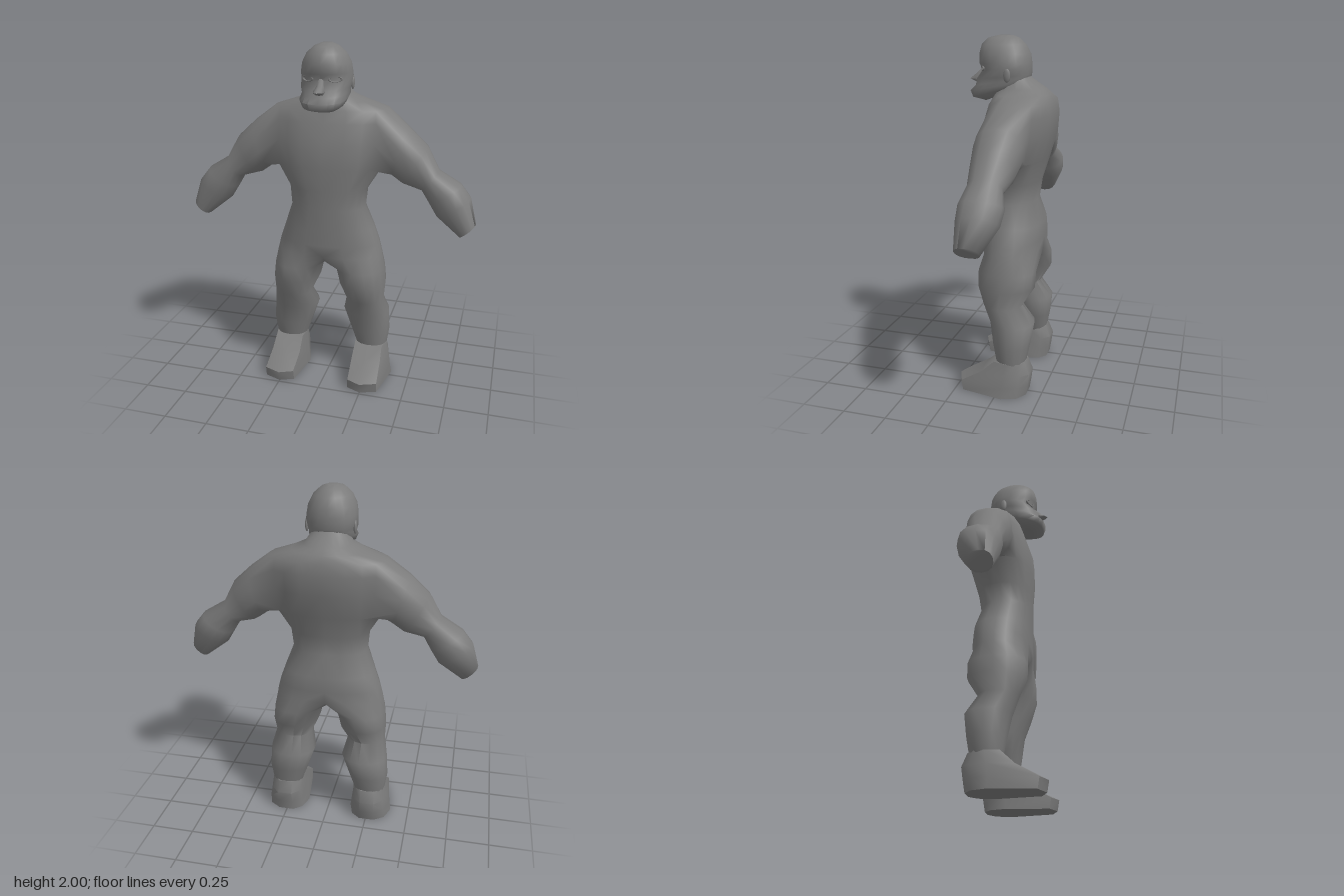
import * as THREE from 'three';
import { toCreasedNormals } from 'three/addons/utils/BufferGeometryUtils.js';

const skin = new THREE.MeshStandardMaterial({ color: 0x7b7b7b });

// Evenly spaced angles, in degrees
const angles = (start, step, count) => Array.from({ length: count }, (_, j) => start + step * j);

// Rounded ring between two opposite points, with a depth range in z
function ring(ax, ay, bx, by, zBack, zFront, degrees, power = 0.9, lift = 0) {
  const soften = (v) => Math.sign(v) * Math.abs(v) ** power;
  return degrees.map((d) => {
    const c = soften(Math.cos(d * Math.PI / 180));
    const s = soften(Math.sin(d * Math.PI / 180));
    return new THREE.Vector3(
      (ax + bx) / 2 + c * (bx - ax) / 2,
      (ay + by) / 2 + c * (by - ay) / 2 + lift * (1 - s) / 2,
      (zBack + zFront) / 2 + s * (zFront - zBack) / 2);
  });
}

// Triangle lists: one quad, a closed band between two rings, an end cap, a mirrored copy
const quad = (a, b, a2, b2) => [[a, a2, b], [b, a2, b2]];
const band = (low, high) => low.flatMap((p, j) => {
  const k = (j + 1) % low.length;
  return quad(p, low[k], high[j], high[k]);
});
const bands = (rings) => rings.slice(1).flatMap((r, i) => band(rings[i], r));
const cap = (r) => r.slice(2).map((p, j) => [r[0], r[j + 1], p]);
const closed = (rings) => [...bands(rings), ...cap(rings[0]), ...cap([...rings[rings.length - 1]].reverse())];
const mirror = (tris) => tris.map((t) => t.map((p) => new THREE.Vector3(-p.x, p.y, p.z)).reverse());

function surface(name, tris, crease) {
  const geometry = new THREE.BufferGeometry().setFromPoints(tris.flat());
  const mesh = new THREE.Mesh(toCreasedNormals(geometry, crease), skin);
  mesh.name = name;
  return mesh;
}

// Left half of the body: torso, leg and arm as one continuous skin
function halfBody() {
  // Torso: height, half width, back z, front z
  const torso = [
    [0.8, 0.316, -0.186, 0.137], [0.87, 0.297, -0.192, 0.14], [0.96, 0.265, -0.188, 0.143],
    [1.09, 0.216, -0.148, 0.146], [1.2, 0.226, -0.165, 0.15], [1.33, 0.305, -0.202, 0.158],
    [1.47, 0.325, -0.243, 0.155], [1.58, 0.33, -0.25, 0.122], [1.645, 0.325, -0.24, 0.1],
    [1.685, 0.2, -0.218, 0.088], [1.715, 0.13, -0.19, 0.08], [1.77, 0.095, -0.11, 0.07],
    [1.8, 0.08, -0.08, 0.06],
  ].map(([y, w, b, f]) => ring(-w, y, w, y, b, f, angles(-90, 18, 11), 0.85));
  const tris = [];
  for (let i = 0; i < torso.length - 1; i++) {
    for (let j = 0; j < 10; j++) {
      const armhole = i >= 5 && i <= 7 && j >= 3 && j <= 6;
      if (!armhole) tris.push(...quad(torso[i][j], torso[i][j + 1], torso[i + 1][j], torso[i + 1][j + 1]));
    }
  }

  // Leg, from the hip and crotch down: height, inner x, outer x, back z, front z
  const crotch = [0.095, 0.025, -0.06, -0.13].map((z) => new THREE.Vector3(0, 0.76, z));
  const leg = [
    [0.19, 0.162, 0.35, -0.153, 0.018], [0.29, 0.127, 0.365, -0.172, 0.037],
    [0.415, 0.085, 0.358, -0.19, 0.06], [0.515, 0.112, 0.334, -0.12, 0.1],
    [0.62, 0.065, 0.34, -0.186, 0.138], [0.71, 0.043, 0.331, -0.188, 0.139],
  ].map(([y, i, o, b, f]) => ring(i, y, o, y, b, f, angles(-120, 24, 15)));
  tris.push(...bands([...leg, [...torso[0], ...crotch]]));

  // Arm, from the edge of the armhole out: lower edge x, y; upper edge x, y; back z, front z
  const armhole = [
    [8, 5], [8, 4], [8, 3], [7, 3], [6, 3], [5, 3], [5, 4],
    [5, 5], [5, 6], [5, 7], [6, 7], [7, 7], [8, 7], [8, 6],
  ].map(([i, j]) => torso[i][j]);
  const arm = [
    [0.36, 1.283, 0.445, 1.552, -0.172, 0.094], [0.42, 1.24, 0.55, 1.455, -0.155, 0.08],
    [0.53, 1.212, 0.62, 1.325, -0.12, 0.068], [0.57, 1.145, 0.745, 1.25, -0.15, 0.084],
    [0.615, 1.07, 0.802, 1.18, -0.14, 0.08], [0.752, 0.962, 0.84, 1.04, -0.07, 0.062],
  ].map((a) => ring(...a, angles(0, -360 / 14, 14)));
  tris.push(...bands([armhole, ...arm]), ...cap([...arm[arm.length - 1]].reverse()));
  return tris;
}

// Foot outlines by height, as x, z pairs: outer side, toes, inner side, heel
function footTriangles() {
  const outlines = [
    [0, [0.39, -0.04, 0.345, 0.2, 0.25, 0.235, 0.168, 0.2, 0.135, -0.04, 0.16, -0.125, 0.21, -0.165, 0.3, -0.165, 0.36, -0.125]],
    [0.06, [0.38, -0.04, 0.345, 0.21, 0.25, 0.246, 0.17, 0.21, 0.142, -0.04, 0.163, -0.13, 0.21, -0.175, 0.3, -0.175, 0.355, -0.13]],
    [0.13, [0.367, -0.05, 0.34, 0.09, 0.25, 0.098, 0.165, 0.09, 0.152, -0.05, 0.167, -0.135, 0.215, -0.185, 0.3, -0.185, 0.348, -0.135]],
    [0.2, [0.353, -0.06, 0.335, 0.015, 0.25, 0.02, 0.168, 0.015, 0.159, -0.06, 0.174, -0.115, 0.215, -0.156, 0.296, -0.156, 0.338, -0.115]],
  ];
  return closed(outlines.map(([y, o]) => Array.from({ length: o.length / 2 },
    (_, k) => new THREE.Vector3(o[2 * k], y, o[2 * k + 1]))));
}

export function createModel() {
  const model = new THREE.Group();
  model.name = 'figure';

  const half = halfBody();
  model.add(surface('body', [...half, ...mirror(half)], 1.2));

  const foot = footTriangles();
  model.add(surface('leftFoot', foot, 0.85), surface('rightFoot', mirror(foot), 0.85));

  // Head: front height, back lift, half width, back z, front z, squareness
  const head = [
    [1.645, 0.08, 0.09, -0.05, 0.15, 0.8], [1.663, 0.075, 0.117, -0.075, 0.222, 0.75],
    [1.7, 0.055, 0.13, -0.09, 0.236, 0.75], [1.73, 0.045, 0.126, -0.1, 0.205, 0.8],
    [1.765, 0.025, 0.135, -0.105, 0.2, 0.88], [1.815, 0.01, 0.139, -0.106, 0.163, 0.88],
    [1.85, 0, 0.138, -0.106, 0.185, 0.9], [1.9, 0, 0.13, -0.1, 0.185, 0.9],
    [1.95, 0, 0.105, -0.075, 0.173, 0.95], [1.985, 0, 0.066, -0.04, 0.14, 1], [2, 0, 0.03, 0, 0.08, 1],
  ];
  model.add(surface('head', closed(head.map(([y, lift, w, b, f, power]) =>
    ring(-w, y, w, y, b, f, angles(0, 18, 20), power, lift))), 1.2));

  // Nose: height, half width, front z
  const nose = [[1.745, 0.03, 0.21], [1.762, 0.034, 0.25], [1.79, 0.022, 0.213], [1.825, 0.012, 0.175]];
  model.add(surface('nose', closed(nose.map(([y, w, f]) =>
    ring(-w, y, w, y, 0.13, f, angles(0, 45, 8), 1.1))), 1.2));

  for (const side of [1, -1]) {
    const label = side > 0 ? 'left' : 'right';

    // Eyelid rim
    const eye = new THREE.Mesh(new THREE.TorusGeometry(0.034, 0.006, 6, 14), skin);
    eye.name = label + 'Eyelids';
    eye.scale.set(1, 0.42, 1);
    eye.position.set(side * 0.075, 1.824, 0.15);
    eye.rotation.y = side * 0.45;

    // Ear
    const ear = new THREE.Mesh(new THREE.SphereGeometry(1, 10, 8), skin);
    ear.name = label + 'Ear';
    ear.scale.set(0.01, 0.038, 0.02);
    ear.position.set(side * 0.132, 1.79, -0.005);
    model.add(eye, ear);
  }
  return model;
}
